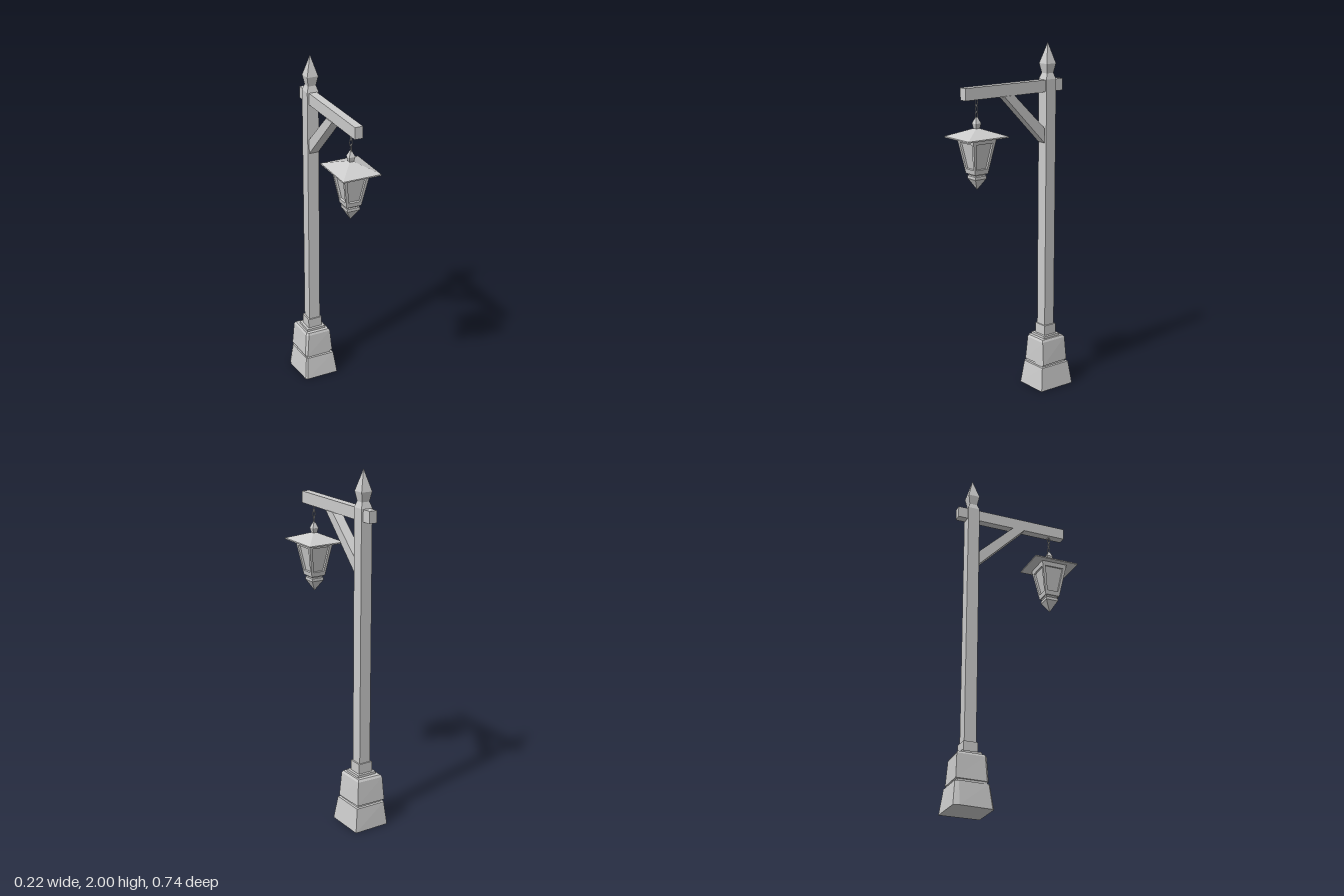
import * as THREE from 'three';

const stoneGrey = new THREE.MeshStandardMaterial({ color: 0xcccccc });
stoneGrey.name = 'plain grey';
stoneGrey.flatShading = true;

const POST_Z = -0.252;
const LAMP_Z = 0.235;

// Square or rectangular ring, ordered front-right, back-right, back-left, front-left
const rect = (hx, hz = hx) => [[hx, hz], [hx, -hz], [-hx, -hz], [-hx, hz]];

// Closed solid through horizontal rings: [[y, [[x, z], ...]], ...] from bottom to top
function loft(rings) {
  const pos = [];
  const p = (r, i) => {
    const [y, pts] = rings[r];
    const [x, z] = pts[i % pts.length];
    return [x, y, z];
  };
  const n = rings[0][1].length;
  const last = rings.length - 1;
  for (let r = 0; r < last; r++) {
    for (let i = 0; i < n; i++) {
      pos.push(...p(r, i), ...p(r, i + 1), ...p(r + 1, i + 1));
      pos.push(...p(r, i), ...p(r + 1, i + 1), ...p(r + 1, i));
    }
  }
  for (let i = 1; i < n - 1; i++) {
    pos.push(...p(0, 0), ...p(0, i + 1), ...p(0, i));
    pos.push(...p(last, 0), ...p(last, i), ...p(last, i + 1));
  }
  const geo = new THREE.BufferGeometry();
  geo.setAttribute('position', new THREE.Float32BufferAttribute(pos, 3));
  geo.computeVertexNormals();
  return geo;
}

function add(parent, name, geo, x = 0, y = 0, z = 0) {
  const mesh = new THREE.Mesh(geo, stoneGrey);
  mesh.name = name;
  mesh.position.set(x, y, z);
  parent.add(mesh);
  return mesh;
}

function buildBase(parent) {
  const g = new THREE.Group();
  g.name = 'base';
  g.position.z = POST_Z;
  parent.add(g);

  // Rough-cut lower stone with chipped left corners
  add(g, 'lowerStone', loft([
    [0, [[0.11, 0.115], [0.11, -0.115], [-0.1, -0.113], [-0.11, -0.08], [-0.097, 0.105], [-0.088, 0.115]]],
    [0.135, [[0.092, 0.097], [0.092, -0.098], [-0.085, -0.1], [-0.092, -0.08], [-0.083, 0.088], [-0.076, 0.095]]],
  ]));
  add(g, 'mortar', loft([[0.12, rect(0.078, 0.083)], [0.16, rect(0.078, 0.083)]]));

  // Upper stone, slightly skewed, with a worn top edge
  add(g, 'upperStone', loft([
    [0.148, [[0.09, 0.087], [0.084, -0.092], [-0.09, -0.097], [-0.085, 0.078], [-0.073, 0.09]]],
    [0.285, [[0.077, 0.083], [0.075, -0.083], [-0.08, -0.09], [-0.074, 0.07], [-0.062, 0.083]]],
    [0.298, [[0.07, 0.077], [0.069, -0.075], [-0.072, -0.082], [-0.068, 0.065], [-0.057, 0.077]]],
  ]));
  add(g, 'basePlate', new THREE.BoxGeometry(0.116, 0.03, 0.112), 0, 0.297, 0);
  add(g, 'collar', new THREE.BoxGeometry(0.086, 0.07, 0.082), 0, 0.335, 0);
}

function buildPost(parent) {
  // Post and pointed finial in one piece
  add(parent, 'post', loft([
    [0.3, rect(0.034)], [1.8, rect(0.034)], [1.832, rect(0.023)],
    [1.885, rect(0.033)], [2, rect(0.0005)],
  ]), 0, 0, POST_Z);

  add(parent, 'beam', new THREE.BoxGeometry(0.046, 0.066, 0.665), 0, 1.764, -0.01);

  // Diagonal brace, drawn in side profile (z, y) and extruded across x
  const shape = new THREE.Shape([
    [0.07, 1.733], [0.0, 1.733], [-0.212, 1.53], [-0.212, 1.447],
  ].map(([z, y]) => new THREE.Vector2(-z, y)));
  const brace = new THREE.ExtrudeGeometry(shape, { depth: 0.056, bevelEnabled: false });
  brace.translate(0, 0, -0.028).rotateY(Math.PI / 2);
  add(parent, 'brace', brace);
}

function buildLantern(parent) {
  const g = new THREE.Group();
  g.name = 'lantern';
  g.position.z = LAMP_Z;
  parent.add(g);

  // Chain of alternating long links
  for (let i = 0; i < 3; i++) {
    const link = new THREE.TorusGeometry(0.008, 0.0025, 4, 8);
    link.scale(1, 2.3, 1).rotateY(i % 2 ? 0 : Math.PI / 2);
    add(g, 'chainLink', link, 0, 1.645 + i * 0.035, 0);
  }
  add(g, 'roofKnob', loft([
    [1.56, rect(0.009)], [1.602, rect(0.018)], [1.636, rect(0.004)],
  ]));
  add(g, 'roof', loft([
    [1.525, rect(0.11, 0.133)], [1.532, rect(0.11, 0.133)], [1.575, rect(0.012)],
  ]));

  // Tapered panes, set back behind the frames
  const low = 0.043, high = 0.077, y0 = 1.33, y1 = 1.527, deep = 0.012;
  add(g, 'panes', loft([[y0 + 0.002, rect(low - deep)], [y1, rect(high - deep)]]));

  // One leaning window frame per side
  const slant = Math.hypot(y1 - y0, high - low);
  const lean = Math.atan2(high - low, y1 - y0);
  const poly = (pts) => pts.map(([x, y]) => new THREE.Vector2(x, y));
  for (let i = 0; i < 4; i++) {
    const shape = new THREE.Shape(poly([[-low, 0], [low, 0], [high, slant], [-high, slant]]));
    shape.holes.push(new THREE.Path(poly([
      [-0.033, 0.027], [-0.055, 0.172], [0.055, 0.172], [0.033, 0.027],
    ])));
    const frame = new THREE.ExtrudeGeometry(shape, { depth: deep, bevelEnabled: false });
    frame.translate(0, 0, -deep).rotateX(lean).translate(0, y0, low).rotateY(i * Math.PI / 2);
    add(g, 'windowFrame', frame);
  }

  // Neck, band and pointed drop underneath
  add(g, 'lanternFoot', loft([
    [1.24, rect(0.0005)], [1.298, rect(0.034)], [1.302, rect(0.037)],
    [1.318, rect(0.037)], [1.322, rect(0.031)], [1.332, rect(0.038)],
  ]));
}

export function createModel() {
  const model = new THREE.Group();
  model.name = 'lampPost';
  buildBase(model);
  buildPost(model);
  buildLantern(model);
  return model;
}
